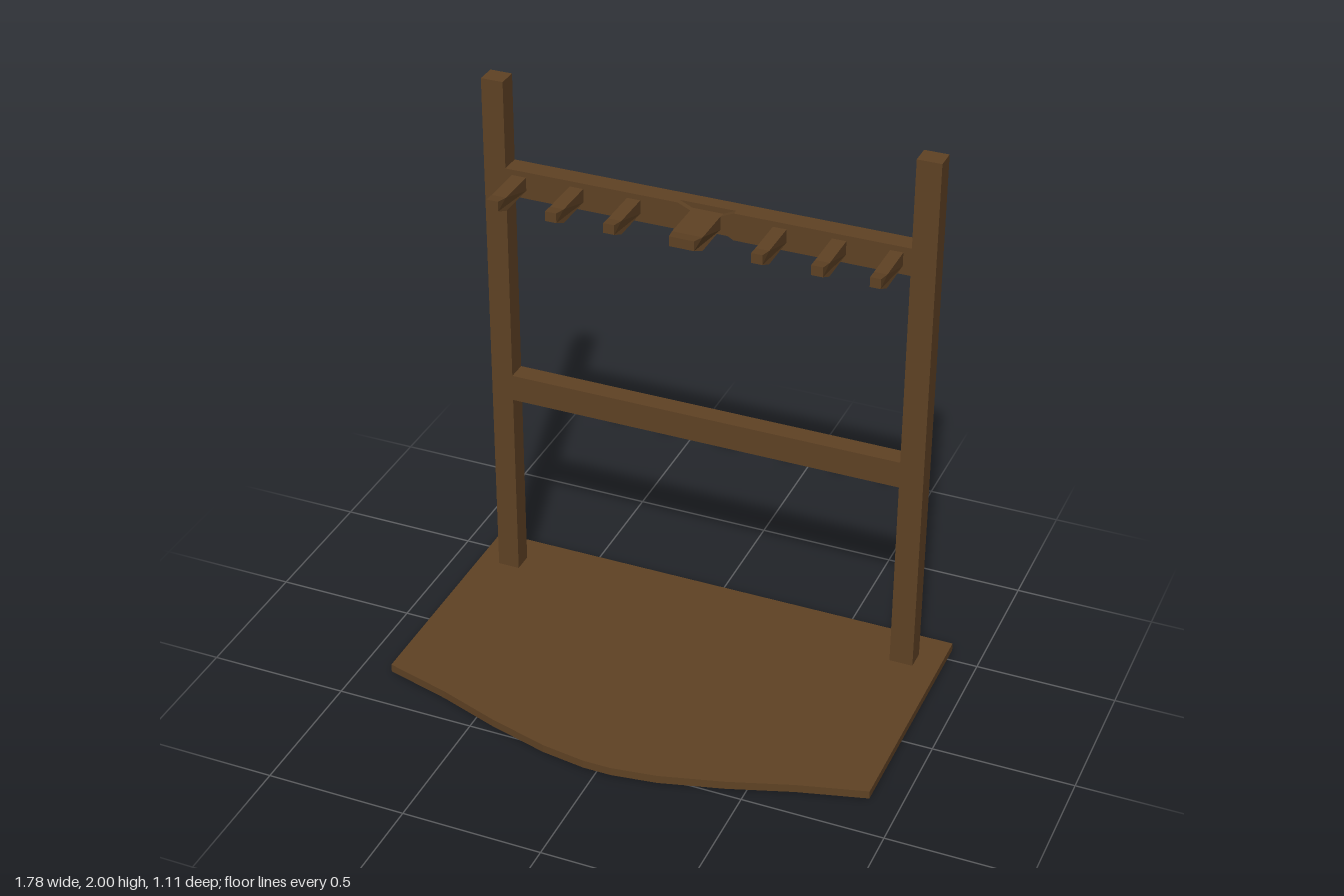
import * as THREE from 'three';

export function createModel() {
  const group = new THREE.Group();
  const wood = new THREE.MeshStandardMaterial({ color: 0x5f4224 });
  wood.name = 'brown wood';

  const add = (name, geometry) => {
    const mesh = new THREE.Mesh(geometry, wood);
    mesh.name = name;
    group.add(mesh);
    return mesh;
  };
  // Box given by its minimum and maximum on each axis
  const box = (name, x0, x1, y0, y1, z0, z1) =>
    add(name, new THREE.BoxGeometry(x1 - x0, y1 - y0, z1 - z0))
      .position.set((x0 + x1) / 2, (y0 + y1) / 2, (z0 + z1) / 2);
  const toShape = (points) => new THREE.Shape(points.map(([x, y]) => new THREE.Vector2(x, y)));

  const back = -0.45, front = -0.377, baseTop = 0.03;
  const posts = [[-0.81, -0.73], [0.715, 0.8]];

  // Base board with a bowed front edge and a socket below each post
  const bow = [[0.05, 0.553], [0.21, 0.53], [0.43, 0.47], [0.65, 0.395], [0.89, 0.33]];
  const outline = [
    [-0.89, 0.557], [0.89, 0.557],
    ...[...bow].reverse().map(([x, z]) => [x, -z]),
    ...bow.map(([x, z]) => [-x, -z]),
  ].reverse();
  const board = toShape(outline);
  for (const [x0, x1] of posts) {
    const hole = toShape([[x0 + 0.012, 0.39], [x1 - 0.012, 0.39], [x1 - 0.012, 0.437], [x0 + 0.012, 0.437]]);
    board.holes.push(hole);
  }
  const baseGeometry = new THREE.ExtrudeGeometry(board, { depth: baseTop, bevelEnabled: false });
  baseGeometry.rotateX(-Math.PI / 2);
  add('baseBoard', baseGeometry);

  // Uprights and lower crossbar
  posts.forEach(([x0, x1], i) => box(i ? 'leftPost' : 'rightPost', x0, x1, baseTop, 2, back, front));
  const left = posts[1][0], right = posts[0][1];
  box('lowerRail', right, left, 0.76, 0.86, back, front);

  // Peg rail: solid back, front layer notched above and below the middle peg
  const notchBack = front - 0.02;
  box('pegRailBack', right, left, 1.58, 1.68, back, notchBack);
  const railFront = toShape([
    [right, 1.58], [-0.1, 1.58], [-0.055, 1.605], [0.055, 1.605], [0.1, 1.58], [left, 1.58],
    [left, 1.68], [0.1, 1.68], [0.055, 1.66], [-0.055, 1.66], [-0.1, 1.68], [right, 1.68],
  ]);
  const railGeometry = new THREE.ExtrudeGeometry(railFront, { depth: 0.02, bevelEnabled: false });
  railGeometry.translate(0, 0, notchBack);
  add('pegRailFront', railGeometry);

  // Peg: side profile extruded across, then narrowed towards the tip
  const pegGeometry = (width) => {
    const profile = toShape([
      [front, 1.61], [-0.22, 1.61], [-0.17, 1.632], [-0.17, 1.668], [-0.22, 1.66], [front, 1.66],
    ]);
    const geometry = new THREE.ExtrudeGeometry(profile, { depth: width, bevelEnabled: false });
    geometry.translate(0, 0, -width / 2);
    geometry.rotateY(-Math.PI / 2);
    const p = geometry.attributes.position;
    for (let i = 0; i < p.count; i++) {
      if (p.getZ(i) > -0.19) p.setX(i, p.getX(i) * 0.82);
    }
    geometry.computeVertexNormals();
    return geometry;
  };
  const pegs = [
    [-0.68, 0.052], [-0.467, 0.05], [-0.258, 0.048], [0, 0.108],
    [0.262, 0.048], [0.468, 0.05], [0.665, 0.045],
  ];
  for (const [x, width] of pegs) add('peg', pegGeometry(width)).position.x = x;

  return group;
}
